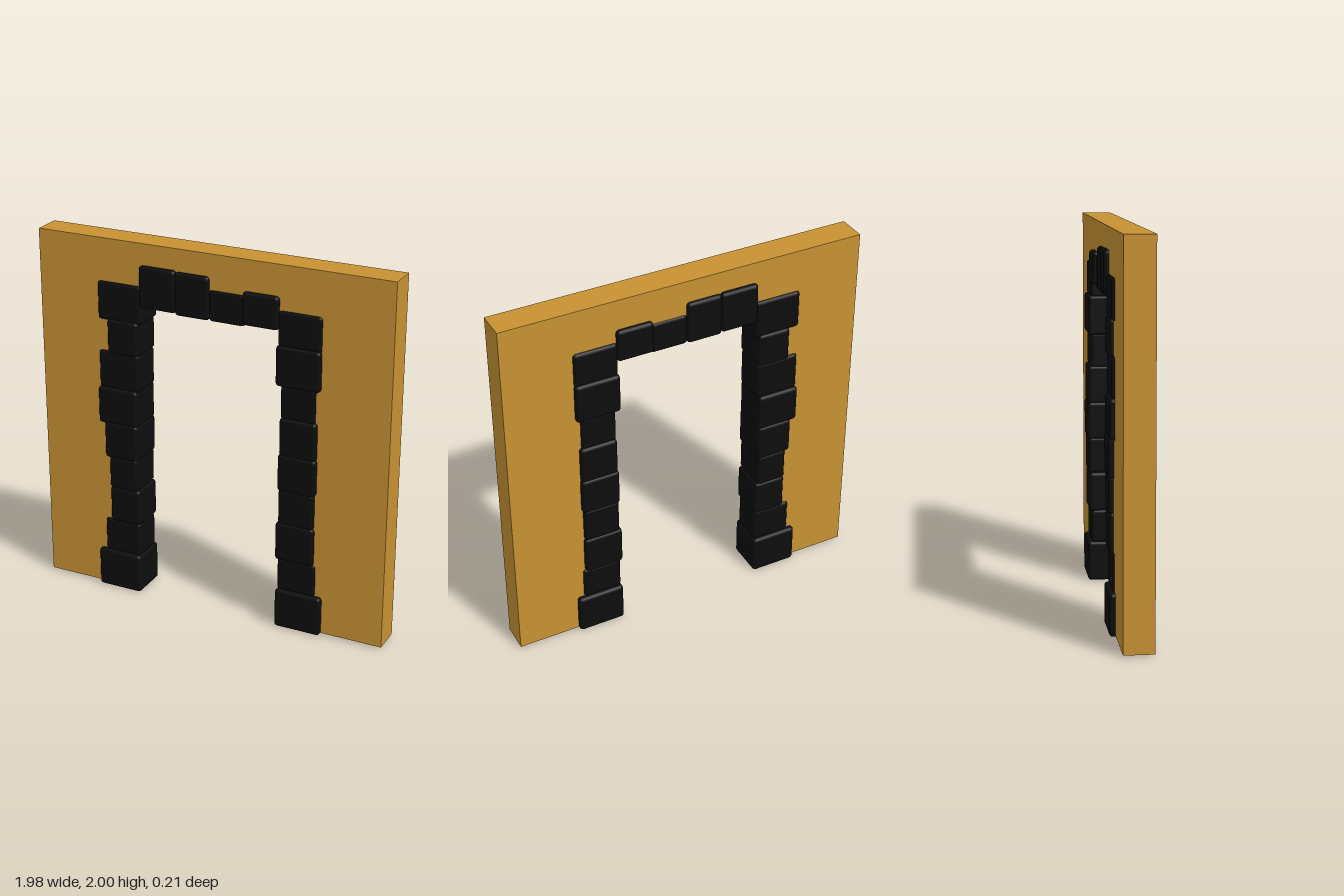
import * as THREE from 'three';
import { RoundedBoxGeometry } from 'three/addons/geometries/RoundedBoxGeometry.js';

export function createModel() {
  const model = new THREE.Group();
  model.name = 'stoneDoorway';
  const plaster = new THREE.MeshStandardMaterial({ color: 0xc89234 });
  plaster.name = 'ochre wall';
  const stone = new THREE.MeshStandardMaterial({ color: 0x0d0d0d });
  stone.name = 'black stone';

  // Wall slab with a door opening reaching the floor
  const outline = new THREE.Shape([
    [-0.99, 0.01], [-0.5, 0.01], [-0.5, 1.73], [0.5, 1.73],
    [0.5, 0.01], [0.99, 0.01], [0.99, 2], [-0.99, 2],
  ].map(([x, y]) => new THREE.Vector2(x, y)));
  const wallGeometry = new THREE.ExtrudeGeometry(outline, { depth: 0.155, bevelEnabled: false });
  wallGeometry.translate(0, 0, -0.079);
  const wall = new THREE.Mesh(wallGeometry, plaster);
  wall.name = 'wall';
  model.add(wall);

  // Rows of rounded blocks: x min, x max, y min, y max, depth
  function addStones(name, blocks) {
    const group = new THREE.Group();
    group.name = name;
    blocks.forEach(([x0, x1, y0, y1, depth], i) => {
      const block = new THREE.Mesh(
        new RoundedBoxGeometry(x1 - x0, y1 - y0, depth, 2, 0.018), stone);
      block.position.set((x0 + x1) / 2, (y0 + y1) / 2, -0.002);
      block.name = name + 'Block' + (i + 1);
      group.add(block);
    });
    model.add(group);
  }

  addStones('rightJamb', [
    [-0.67, -0.415, 0, 0.22, 0.214],
    [-0.635, -0.42, 0.215, 0.41, 0.176],
    [-0.593, -0.415, 0.405, 0.61, 0.2],
    [-0.593, -0.427, 0.605, 0.795, 0.206],
    [-0.615, -0.42, 0.785, 0.99, 0.214],
    [-0.65, -0.42, 0.98, 1.185, 0.208],
    [-0.645, -0.41, 1.18, 1.39, 0.182],
    [-0.588, -0.41, 1.38, 1.57, 0.2],
    [-0.645, -0.39, 1.56, 1.77, 0.182],
  ]);
  addStones('lintel', [
    [-0.395, -0.187, 1.66, 1.885, 0.206],
    [-0.192, 0, 1.65, 1.88, 0.196],
    [-0.004, 0.195, 1.645, 1.815, 0.17],
    [0.188, 0.385, 1.66, 1.835, 0.202],
  ]);
  addStones('leftJamb', [
    [0.39, 0.65, 0, 0.22, 0.214],
    [0.395, 0.613, 0.215, 0.4, 0.174],
    [0.385, 0.6, 0.395, 0.61, 0.2],
    [0.4, 0.597, 0.605, 0.805, 0.204],
    [0.395, 0.605, 0.795, 1.0, 0.214],
    [0.4, 0.603, 0.99, 1.2, 0.206],
    [0.4, 0.592, 1.19, 1.38, 0.182],
    [0.375, 0.617, 1.37, 1.585, 0.21],
    [0.38, 0.617, 1.575, 1.765, 0.182],
  ]);
  return model;
}
